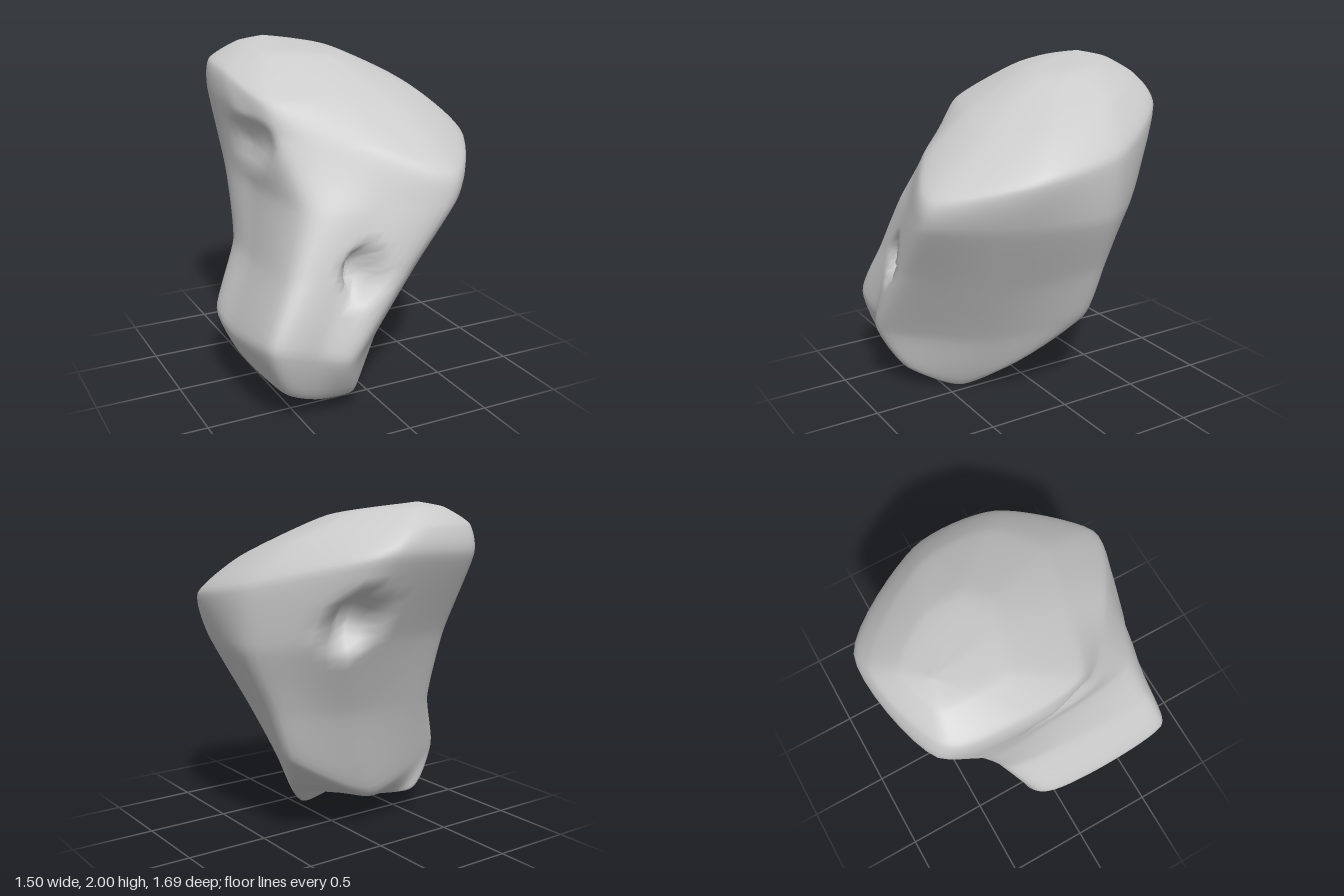
import * as THREE from 'three';
import { mergeVertices } from 'three/addons/utils/BufferGeometryUtils.js';

// Tilted cross-sections from foot to crown; each runs
// front left, front, front ridge, side, back edge, back, back corner, left.
const RINGS = [
  [[-.6, .18, .64], [-.4, .1, .65], [-.2, .1, .66], [-.05, 0, .4], [.17, .2, .1], [-.28, .11, .02], [-.52, .15, -.16], [-.64, .2, .2]],
  [[-.72, .5, .745], [-.45, .43, .79], [-.24, .4, .835], [.17, .38, .36], [.43, .51, -.17], [-.12, .23, -.24], [-.67, .42, -.17], [-.745, .42, .2]],
  [[-.56, .85, .66], [-.26, .85, .76], [.08, .85, .82], [.38, .76, .38], [.56, .85, -.2], [.15, .8, -.4], [-.49, .8, -.33], [-.57, .8, .12]],
  [[-.43, 1.19, .56], [-.08, 1.2, .73], [.34, 1.2, .83], [.63, 1.19, .38], [.7, 1.2, -.18], [.3, 1.25, -.59], [-.48, 1.23, -.47], [-.5, 1.2, 0]],
  [[-.45, 1.53, .3], [-.05, 1.5, .62], [.37, 1.37, .79], [.72, 1.47, .33], [.7, 1.56, -.22], [.22, 1.72, -.81], [-.5, 1.7, -.69], [-.58, 1.66, -.12]],
  [[-.48, 1.73, .17], [-.07, 1.73, .32], [.28, 1.66, .4], [.53, 1.69, .15], [.47, 1.79, -.3], [.06, 1.87, -.79], [-.5, 1.87, -.65], [-.56, 1.84, -.26]],
];
const FOOT = new THREE.Vector3(-.32, .11, .3);
const CROWN = new THREE.Vector3(-.2, 2, -.54);
const STEPS = 8;

// Hollows: centre, radii, push
const HOLLOWS = [
  { c: [-.18, .85, .77], r: [.12, .18, .2], push: [-.03, 0, -.13] },
  { c: [.3, 1.36, -.64], r: [.15, .22, .2], push: [-.08, .04, .18] },
  { c: [-.52, 1.48, .05], r: [.14, .17, .3], push: [.06, 0, 0] },
];

function dent(p) {
  for (const { c, r, push } of HOLLOWS) {
    const d = Math.hypot((p.x - c[0]) / r[0], (p.y - c[1]) / r[1], (p.z - c[2]) / r[2]);
    const k = 1 - THREE.MathUtils.smoothstep(d, 0.3, 1);
    p.addScaledVector(new THREE.Vector3(...push), k);
  }
  return p;
}

function boulderGeometry() {
  // Vertical profile curves, closing at foot and crown
  const columns = RINGS[0].map((_, j) => {
    const pts = RINGS.map(ring => new THREE.Vector3(...ring[j]));
    const rim = pts[pts.length - 1];
    const shoulder = rim.clone().lerp(CROWN, 0.5);
    shoulder.y = THREE.MathUtils.lerp(rim.y, CROWN.y, 0.75);
    return new THREE.CatmullRomCurve3([FOOT, ...pts, shoulder, CROWN], false, 'catmullrom', 0.3);
  });
  const rows = (RINGS.length + 2) * STEPS;
  const around = columns.length * STEPS;
  const positions = [], index = [];
  for (let i = 0; i <= rows; i++) {
    const section = columns.map(c => c.getPoint(i / rows));
    const loop = new THREE.CatmullRomCurve3(section, true, 'catmullrom', 0.38);
    for (let j = 0; j < around; j++) {
      const p = dent(loop.getPoint(j / around));
      positions.push(p.x, p.y, p.z);
      const a = i * around + j, b = i * around + (j + 1) % around;
      if (i > 0 && i < rows) index.push(a, b, b + around);
      if (i < rows - 1) index.push(a, b + around, a + around);
    }
  }
  const geo = new THREE.BufferGeometry();
  geo.setAttribute('position', new THREE.Float32BufferAttribute(positions, 3));
  geo.setIndex(index);
  // Weld the poles so the shading stays smooth
  const welded = mergeVertices(geo, 1e-5);
  welded.computeVertexNormals();
  return welded;
}

export function createModel() {
  const group = new THREE.Group();
  group.name = 'boulder';
  const stone = new THREE.Mesh(boulderGeometry(), new THREE.MeshStandardMaterial({ color: 0xcccccc }));
  stone.name = 'stone';
  group.add(stone);
  return group;
}
